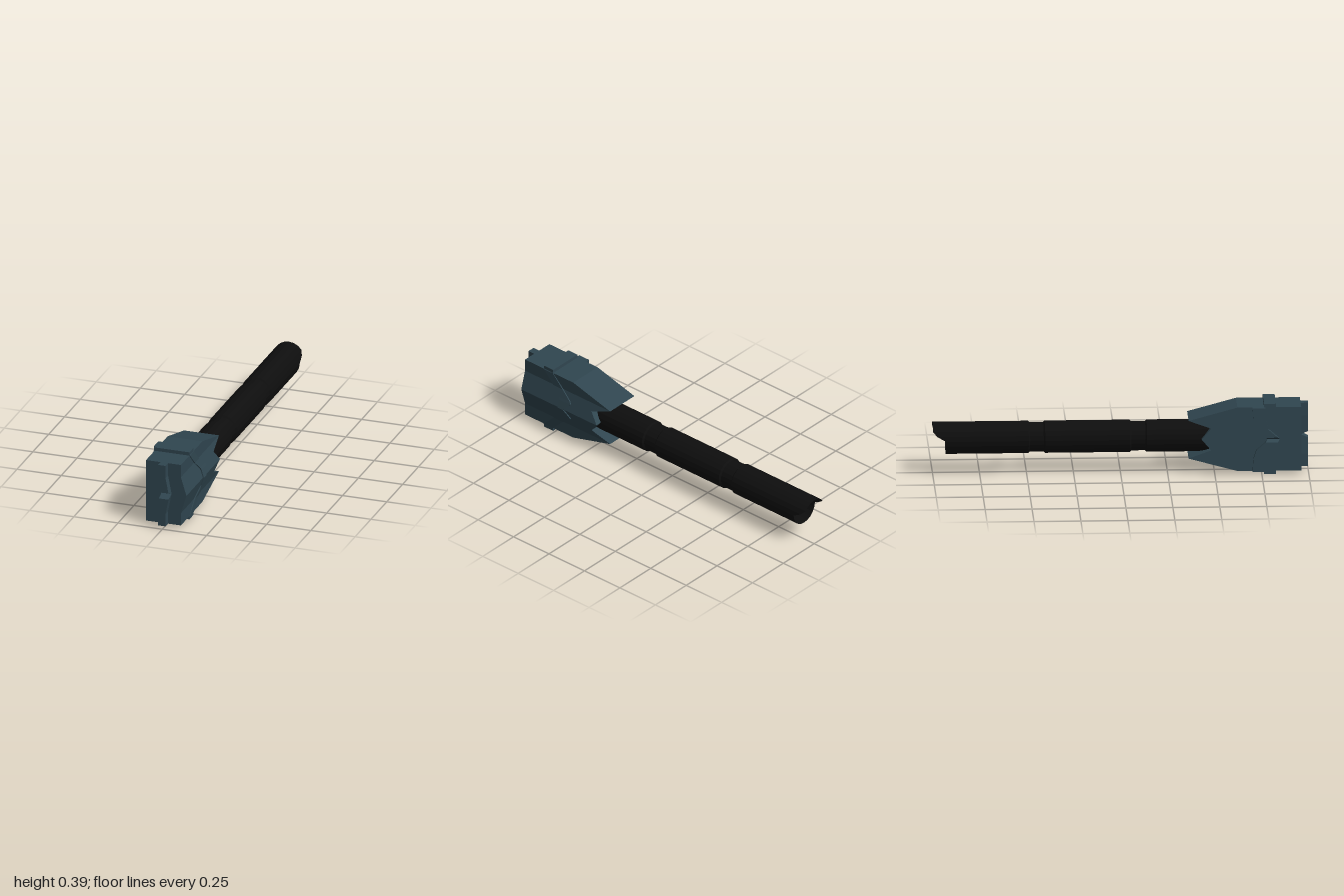
import * as THREE from 'three';

const MID = 0.194; // height of the handle axis

// Mirrors half rows [offset, x0, x1, zBack, zFront] (centre first) about the axis
// and skins the rectangles, bottom to top, into a closed solid.
function loft(half) {
  const rows = [
    ...half.slice(1).reverse().map(([o, ...r]) => [-o, ...r]),
    ...half,
  ];
  const pos = [], index = [];
  rows.forEach(([o, x0, x1, z0, z1], r) => {
    const y = MID + o;
    pos.push(x0, y, z1, x1, y, z1, x1, y, z0, x0, y, z0);
    if (r === 0) return;
    const a = (r - 1) * 4, b = r * 4;
    for (let i = 0; i < 4; i++) {
      const j = (i + 1) % 4;
      index.push(a + i, a + j, b + j, a + i, b + j, b + i);
    }
  });
  const t = (rows.length - 1) * 4;
  index.push(t, t + 1, t + 2, t, t + 2, t + 3, 0, 2, 1, 0, 3, 2);
  const geo = new THREE.BufferGeometry();
  geo.setAttribute('position', new THREE.Float32BufferAttribute(pos, 3));
  geo.setIndex(index);
  const flat = geo.toNonIndexed();
  flat.computeVertexNormals();
  return flat;
}

export function createModel() {
  const model = new THREE.Group();
  model.name = 'hammer';

  const steel = new THREE.MeshStandardMaterial({ color: 0x304650, flatShading: true });
  steel.name = 'blue grey steel';
  const black = new THREE.MeshStandardMaterial({ color: 0x0e0e0e, flatShading: true, side: THREE.DoubleSide });
  black.name = 'black grip';

  const add = (name, geo, mat, parent = model) => {
    const mesh = new THREE.Mesh(geo, mat);
    mesh.name = name;
    parent.add(mesh);
    return mesh;
  };

  const head = new THREE.Group();
  head.name = 'head';
  model.add(head);

  // Head block with a ridged side and forked rear edge
  add('headBlock', loft([
    [0, -0.106, 0.122, 0.43, 0.96],
    [0.06, -0.106, 0.104, 0.48, 0.96],
    [0.104, -0.106, 0.091, 0.36, 0.96],
    [0.175, -0.106, 0.091, 0.62, 0.96],
  ]), steel, head);

  // Striking rib on the front, notched in the middle
  add('frontRib', loft([
    [0, -0.018, 0.038, 0.95, 0.962],
    [0.018, -0.019, 0.035, 0.95, 1.0],
    [0.104, -0.024, 0.018, 0.95, 1.0],
    [0.175, -0.024, 0.018, 0.95, 1.0],
  ]), steel, head);

  // Raised chevron on the ridged side, following its slope
  add('leftChevron', loft([
    [0, 0.09, 0.128, 0.66, 0.70],
    [0.045, 0.09, 0.115, 0.62, 0.70],
    [0.06, 0.08, 0.110, 0.63, 0.71],
    [0.104, 0.07, 0.097, 0.69, 0.755],
    [0.175, 0.07, 0.094, 0.762, 0.826],
  ]), steel, head);

  // Thicker chevron on the flat side, split by a notch
  add('rightChevron', loft([
    [0, -0.107, -0.09, 0.78, 0.845],
    [0.013, -0.13, -0.09, 0.77, 0.835],
    [0.057, -0.13, -0.09, 0.72, 0.785],
    [0.104, -0.13, -0.09, 0.705, 0.775],
    [0.175, -0.13, -0.09, 0.70, 0.77],
  ]), steel, head);

  // Bands across the top and bottom
  for (const [name, side] of [['topBand', 1], ['bottomBand', -1]]) {
    add(name, new THREE.BoxGeometry(0.197, 0.03, 0.064), steel, head)
      .position.set(-0.0075, MID + side * 0.179, 0.794);
  }

  // Hollow handle with two grooves
  const R = 0.086, G = 0.078;
  const profile = [
    [R, -0.93], [R, -0.49], [G, -0.482], [G, -0.41], [R, -0.402],
    [R, 0.05], [G, 0.058], [G, 0.132], [R, 0.14], [R, 0.52],
  ].map(([r, z]) => new THREE.Vector2(r, z));
  const grip = new THREE.LatheGeometry(profile, 20).rotateX(Math.PI / 2);

  // The upper half of the open end reaches further back
  const p = grip.attributes.position;
  for (let i = 0; i < p.count; i++) {
    if (p.getZ(i) < -0.92) {
      p.setZ(i, -0.93 - 0.07 * THREE.MathUtils.clamp(p.getY(i) / 0.04, 0, 1));
    }
  }
  grip.computeVertexNormals();
  add('handle', grip, black).position.y = MID - 0.003;

  return model;
}
